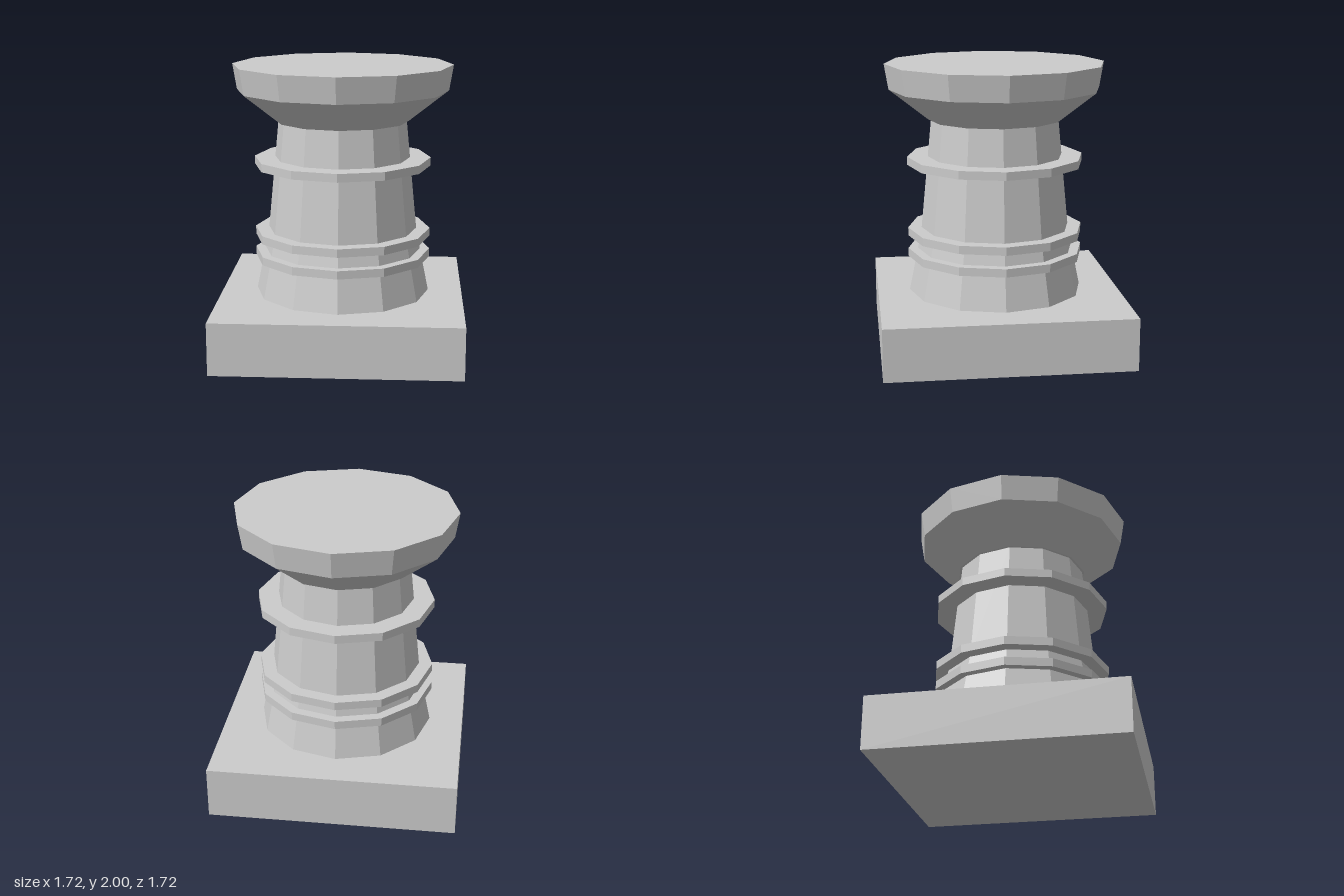
import * as THREE from 'three';

const SIDES = 12;
const AXIS_Z = 0.012; // the column sits slightly forward of the plinth centre

export function createModel() {
  const model = new THREE.Group();
  model.name = 'pedestal';
  const material = new THREE.MeshStandardMaterial({ color: 0xcccccc, flatShading: true });

  const addPart = (name, geometry, y, z = 0) => {
    const mesh = new THREE.Mesh(geometry, material);
    mesh.name = name;
    mesh.position.set(0, y, z);
    model.add(mesh);
  };

  // Twelve-sided solid between two heights
  const addDrum = (name, bottomY, topY, bottomR, topR, open = false) => {
    const height = topY - bottomY;
    const geometry = new THREE.CylinderGeometry(topR, bottomR, height, SIDES, 1, open);
    addPart(name, geometry, bottomY + height / 2, AXIS_Z);
  };

  // Square plinth
  addPart('plinth', new THREE.BoxGeometry(1.72, 0.37, 1.72), 0.185);

  // Tapering shaft, flared more strongly at the foot
  addDrum('shaftFoot', 0.37, 0.8, 0.62, 0.532, true);
  addDrum('shaft', 0.8, 1.605, 0.532, 0.453, true);

  // Thin collars around the shaft
  [['lowerCollar', 0.62], ['middleCollar', 0.772], ['upperCollar', 1.286]].forEach(([name, y]) => {
    addDrum(name, y, y + 0.058, 0.625, 0.625);
  });

  // Capital: flared underside, then a shallow rim closed by a flat top
  const profile = [[0, 1.605], [0.47, 1.605], [0.745, 1.82], [0.775, 2], [0, 2]]
    .map(([r, y]) => new THREE.Vector2(r, y));
  addPart('capital', new THREE.LatheGeometry(profile, SIDES), 0, AXIS_Z);

  return model;
}
